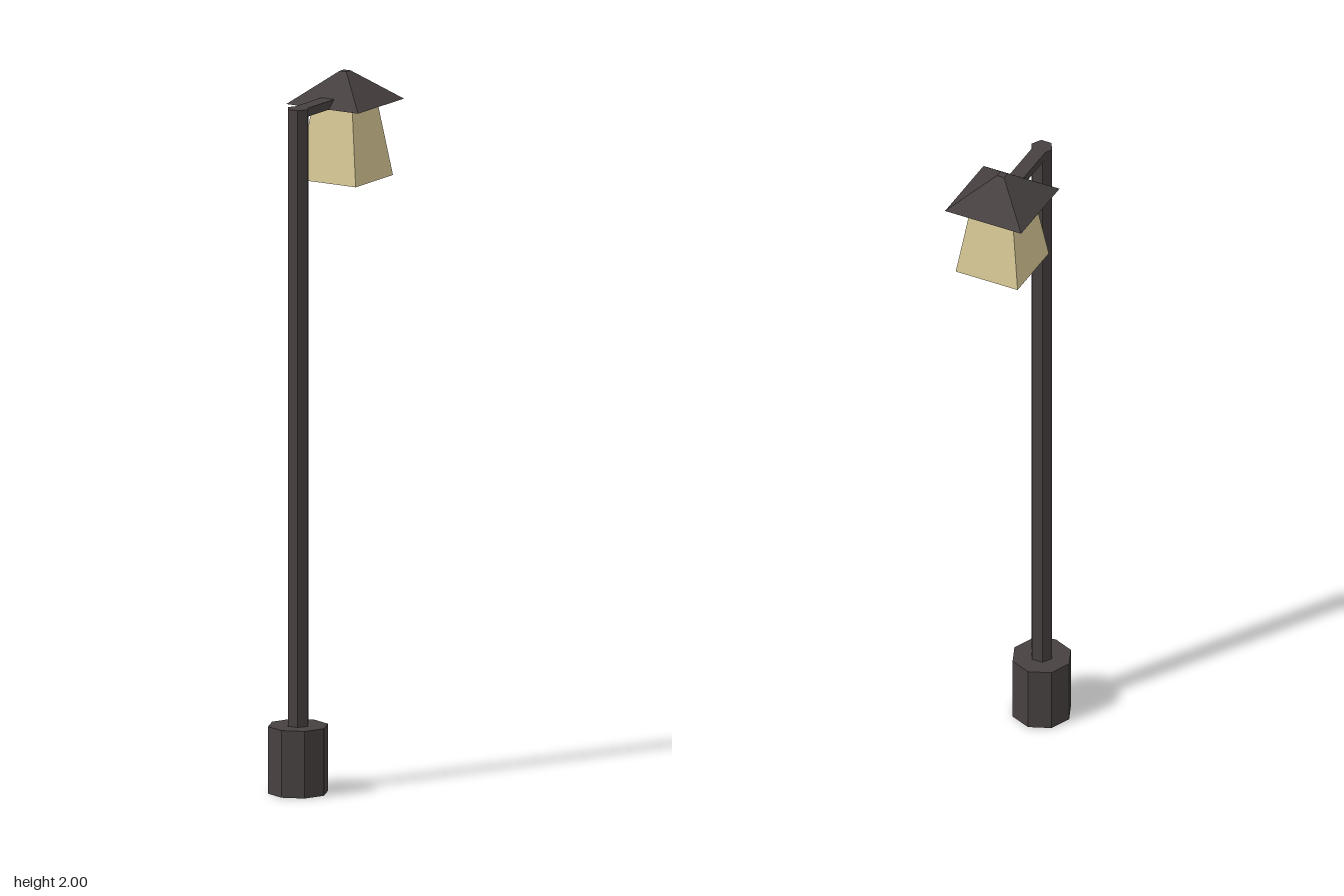
import * as THREE from 'three';

const POLE_Z = 0.136, LAMP_Z = -0.106;

export function createModel() {
  const group = new THREE.Group();
  const iron = new THREE.MeshStandardMaterial({ color: 0x474040, flatShading: true });
  iron.name = 'dark iron';
  const glass = new THREE.MeshStandardMaterial({ color: 0xd6c795, flatShading: true });
  glass.name = 'warm glass';

  function add(name, geometry, material, y, z) {
    const mesh = new THREE.Mesh(geometry, material);
    mesh.name = name;
    mesh.position.set(0, y, z);
    group.add(mesh);
  }

  // Prism or tapered prism between two heights
  function prism(name, material, sides, rTop, rBottom, y0, y1, z, turn = 0) {
    const geometry = new THREE.CylinderGeometry(rTop, rBottom, y1 - y0, sides, 1, false, turn);
    add(name, geometry, material, (y0 + y1) / 2, z);
  }

  // Octagonal foot and hexagonal pole
  prism('base', iron, 8, 0.085, 0.085, 0, 0.19, POLE_Z);
  prism('pole', iron, 6, 0.032, 0.032, 0.19, 1.937, POLE_Z, Math.PI / 6);

  // Arm reaching from the pole into the lamp roof
  const armBack = -0.021, armFront = POLE_Z;
  add('arm', new THREE.BoxGeometry(0.042, 0.024, armFront - armBack), iron,
    1.925, (armBack + armFront) / 2);

  // Square lantern, wider at the bottom, under a pyramid roof
  const d = Math.SQRT2;
  prism('lantern', glass, 4, 0.064 * d, 0.096 * d, 1.698, 1.913, LAMP_Z, Math.PI / 4);
  prism('roof', iron, 4, 0.011 * d, 0.118 * d, 1.913, 2, LAMP_Z, Math.PI / 4);

  return group;
}
